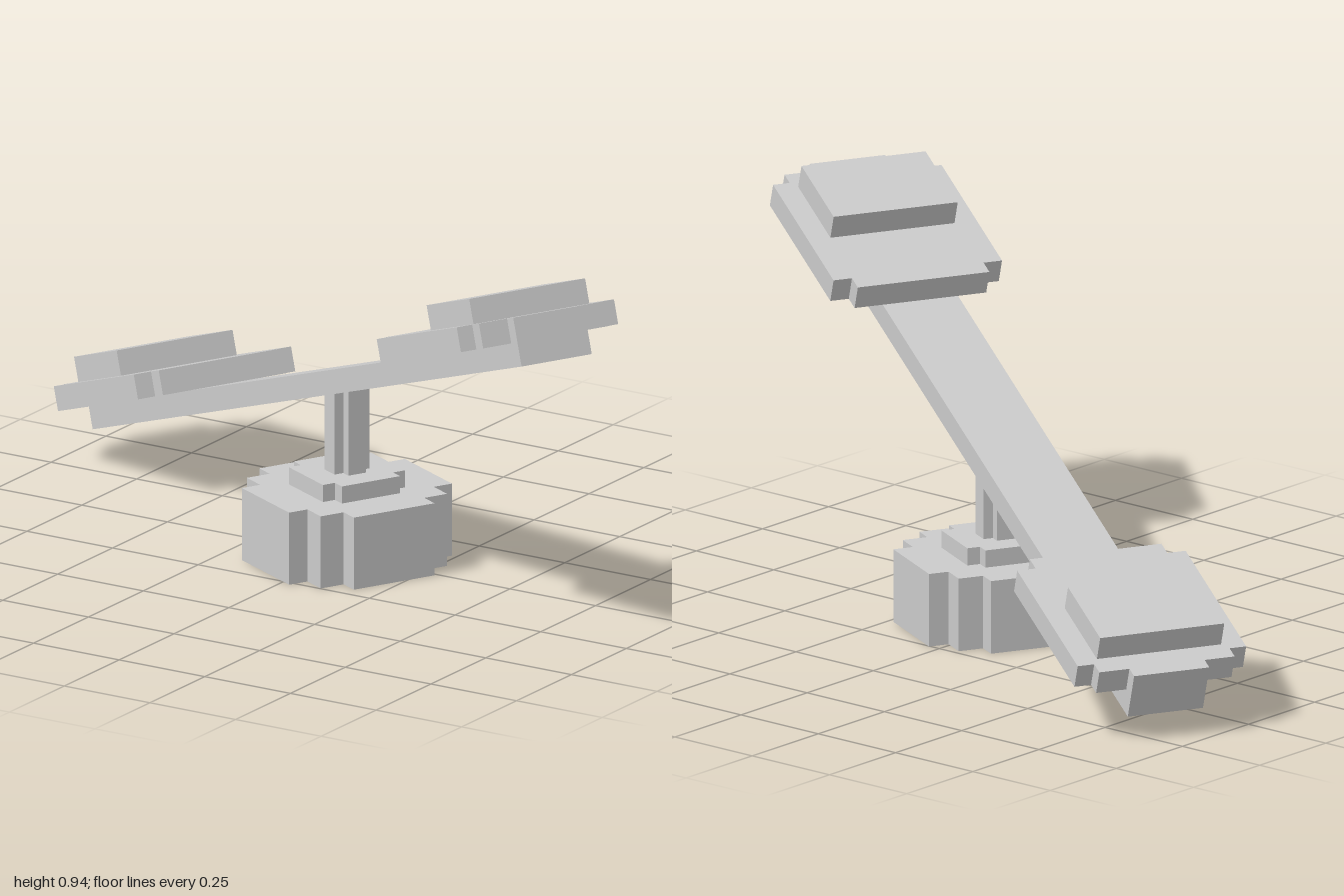
import * as THREE from 'three';

const material = new THREE.MeshStandardMaterial({ color: 0xcccccc, flatShading: true });

// Slab from y0 to y1 whose outline is given for z > 0 as [x, z] and mirrored across z = 0
function slab(name, half, y0, y1) {
  const outline = [...half, ...half.map(([x, z]) => [x, -z]).reverse()];
  const shape = new THREE.Shape(outline.map(([x, z]) => new THREE.Vector2(x, z)));
  const geometry = new THREE.ExtrudeGeometry(shape, { depth: y1 - y0, bevelEnabled: false });
  geometry.rotateX(-Math.PI / 2).translate(0, y0, 0);
  const mesh = new THREE.Mesh(geometry, material);
  mesh.name = name;
  return mesh;
}

// Staircase through [x, z] corners, running from high x to low x
function steppedRound(corners) {
  const quarter = [];
  corners.forEach(([x, z], i) => {
    if (i > 0) quarter.push([x, corners[i - 1][1]]);
    quarter.push([x, z]);
  });
  return [...quarter, ...quarter.map(([x, z]) => [-x, z]).reverse()];
}

// Blocky padded seat lying on the end of the plank
function createSeat(name) {
  const seat = new THREE.Group();
  seat.name = name;
  const cushionBase = [
    [1.107, 0.1], [1.075, 0.1], [1.075, 0.18], [1.04, 0.18], [1.04, 0.224],
    [0.627, 0.224], [0.627, 0.175], [0.587, 0.175],
  ];
  seat.add(slab('seatBase', cushionBase, 0.06, 0.122));
  seat.add(slab('seatPad', [[1.02, 0.165], [0.8, 0.165]], 0.122, 0.185));
  return seat;
}

export function createModel() {
  const model = new THREE.Group();
  model.name = 'seesaw';
  const yaw = THREE.MathUtils.degToRad(-27);

  // Stand: foot, collar and post
  const stand = new THREE.Group();
  stand.name = 'stand';
  stand.position.set(0.028, 0, 0.006);
  stand.rotation.y = yaw;
  stand.add(slab('foot', steppedRound([[0.23, 0.115], [0.18, 0.18], [0.115, 0.232]]), 0, 0.186));
  stand.add(slab('collar', steppedRound([[0.117, 0.083], [0.083, 0.117]]), 0.186, 0.23));
  stand.add(slab('post', steppedRound([[0.05, 0.025], [0.025, 0.05]]), 0.23, 0.45));
  model.add(stand);

  // Tilted plank with a seat at each end
  const beam = new THREE.Group();
  beam.name = 'beam';
  beam.position.set(0.02, 0.43, 0.015);
  beam.rotation.set(0, yaw, THREE.MathUtils.degToRad(19.5));
  beam.add(slab('plank', [[1.107, 0.1], [-1.107, 0.1]], 0, 0.06));
  const upperSeat = createSeat('upperSeat');
  const lowerSeat = createSeat('lowerSeat');
  lowerSeat.rotation.y = Math.PI;
  beam.add(upperSeat, lowerSeat);
  model.add(beam);

  return model;
}
